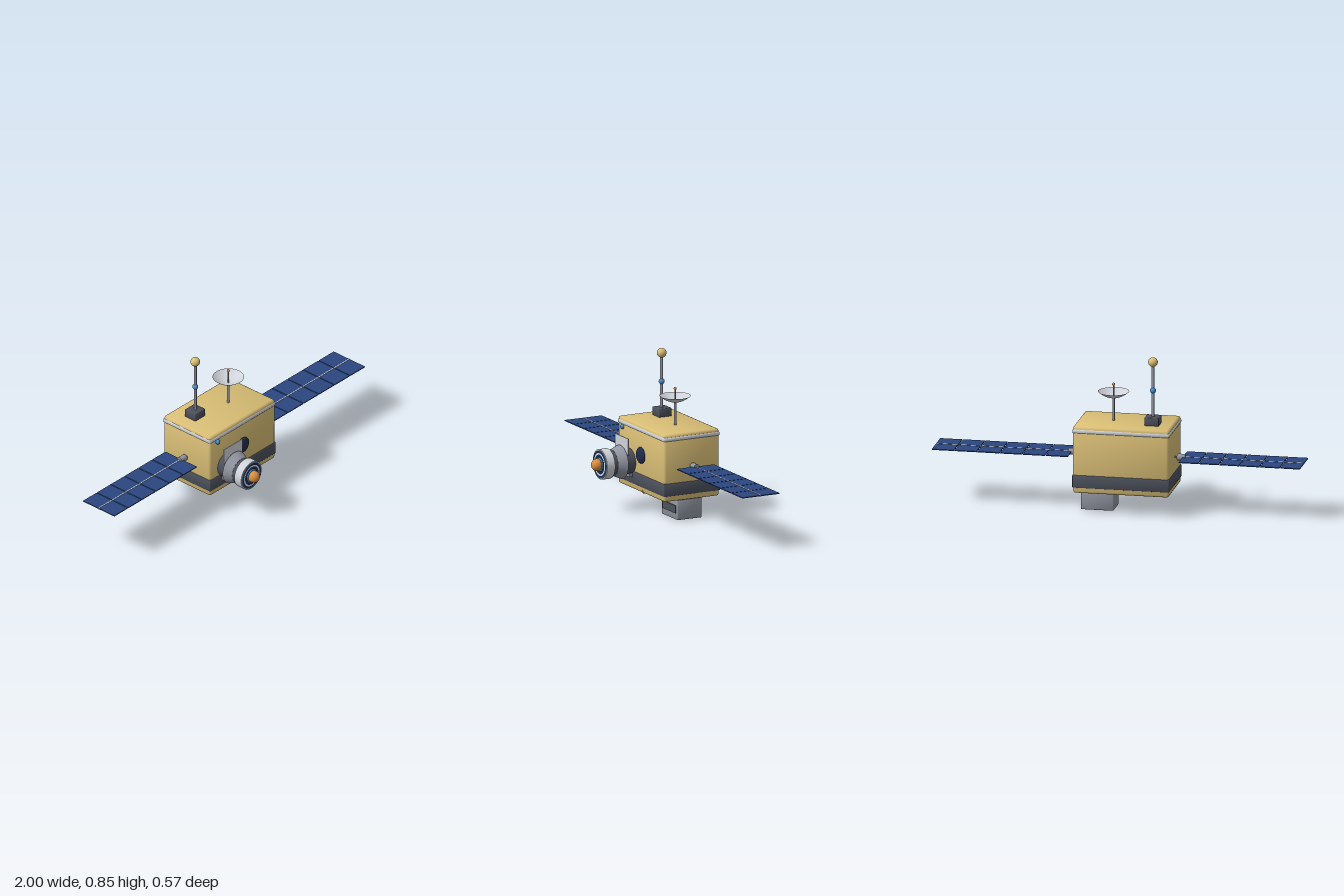
import * as THREE from 'three';
import { RoundedBoxGeometry } from 'three/addons/geometries/RoundedBoxGeometry.js';

const mat = (name, color, side = THREE.FrontSide) => {
  const m = new THREE.MeshStandardMaterial({ color, side });
  m.name = name;
  return m;
};

// Chamfered box whose normals lean toward the corners, so faces shade softly
const softBox = (w, h, d, r) => {
  const geo = new RoundedBoxGeometry(w, h, d, 1, r);
  const p = geo.attributes.position, n = geo.attributes.normal;
  const v = new THREE.Vector3();
  for (let i = 0; i < p.count; i++) {
    v.set(Math.sign(p.getX(i)), Math.sign(p.getY(i)), Math.sign(p.getZ(i))).multiplyScalar(0.3);
    v.x += n.getX(i);
    v.y += n.getY(i);
    v.z += n.getZ(i);
    v.normalize();
    n.setXYZ(i, v.x, v.y, v.z);
  }
  return geo;
};

export function createModel() {
  const gold = mat('gold foil', 0xdabf76);
  const dark = mat('dark grey', 0x4c515c);
  const grey = mat('mid grey', 0x9195a0);
  const silver = mat('silver', 0xd0d4da, THREE.DoubleSide);
  const cell = mat('solar blue', 0x2b4680);
  const navy = mat('dark navy', 0x1e2c4c);
  const blue = mat('light blue', 0x4a90d4);
  const orange = mat('orange', 0xdc8f40);

  const model = new THREE.Group();
  model.name = 'satellite';

  const add = (name, geo, material, x, y, z, parent = model) => {
    const m = new THREE.Mesh(geo, material);
    m.name = name;
    m.position.set(x, y, z);
    parent.add(m);
    return m;
  };
  const box = (name, material, w, h, d, x, y, z, r = 0, parent = model) =>
    add(name, r ? softBox(w, h, d, r) : new THREE.BoxGeometry(w, h, d), material, x, y, z, parent);
  const ball = (name, material, r, x, y, z, parent = model) =>
    add(name, new THREE.SphereGeometry(r, 28, 18), material, x, y, z, parent);
  const rod = (name, material, r, y0, y1, x, z) =>
    add(name, new THREE.CylinderGeometry(r, r, y1 - y0, 16), material, x, (y0 + y1) / 2, z);

  // Main body with its two bands
  const cx = -0.037, cz = -0.112;
  box('body', gold, 0.52, 0.368, 0.333, cx, 0.297, cz, 0.012);
  box('lowerBand', dark, 0.526, 0.07, 0.339, cx, 0.178, cz, 0.004);
  box('upperTrim', silver, 0.526, 0.022, 0.337, cx, 0.454, cz, 0.006);

  // Instrument box underneath
  box('instrumentBox', grey, 0.178, 0.115, 0.147, 0.11, 0.0575, -0.112, 0.004);
  box('instrumentSlot', dark, 0.148, 0.042, 0.008, 0.11, 0.056, -0.038);

  // Solar wings: six separate panels joined by a central spar
  const wing = (name, side, x0, x1) => {
    const g = new THREE.Group();
    g.name = name;
    model.add(g);
    const length = x1 - x0, gap = 0.005, pitch = (length + gap) / 6;
    for (let i = 0; i < 6; i++) {
      const x = side * (x0 + pitch * i + (pitch - gap) / 2);
      box('solarPanel', cell, pitch - gap, 0.005, 0.224, x, 0.297, cz, 0, g);
    }
    box('panelSpar', silver, length, 0.008, 0.006, side * (x0 + x1) / 2, 0.297, cz, 0, g);
  };
  wing('leftWing', 1, 0.262, 1);
  wing('rightWing', -1, 0.342, 1);
  for (const [x, inner] of [[0.256, 0.21], [-0.334, -0.28]]) {
    const hub = add('wingHub', new THREE.CylinderGeometry(0.018, 0.018, 0.045, 24), grey, x, 0.297, cz);
    hub.rotation.z = Math.PI / 2;
    box('wingPin', grey, Math.abs(x - inner), 0.007, 0.007, (x + inner) / 2, 0.297, cz);
  }

  // Mast antenna
  box('mastBase', dark, 0.078, 0.046, 0.076, -0.187, 0.503, -0.152, 0.004);
  rod('mast', grey, 0.008, 0.52, 0.81, -0.187, -0.15);
  ball('mastBead', blue, 0.016, -0.187, 0.668, -0.15);
  ball('mastTip', gold, 0.026, -0.187, 0.824, -0.15);

  // Dish antenna: shallow bowl opening upward
  const dishX = 0.035;
  rod('dishPost', grey, 0.007, 0.475, 0.602, dishX, cz);
  const bowl = [];
  for (let i = 0; i <= 10; i++) {
    const t = i / 10;
    bowl.push(new THREE.Vector2(0.0001 + 0.084 * t, 0.036 * t * t));
  }
  add('dish', new THREE.LatheGeometry(bowl, 40), silver, dishX, 0.605, cz);
  rod('dishFeed', grey, 0.004, 0.605, 0.68, dishX, cz);
  ball('dishFeedTip', orange, 0.008, dishX, 0.68, cz);

  // Camera, built along z from the front wall
  const camera = new THREE.Group();
  camera.name = 'camera';
  camera.position.set(-0.167, 0.26, 0);
  model.add(camera);
  const drum = (name, material, rBack, rFront, z0, z1) => {
    const m = add(name, new THREE.CylinderGeometry(rFront, rBack, z1 - z0, 40), material, 0, 0, (z0 + z1) / 2, camera);
    m.rotation.x = Math.PI / 2;
  };
  drum('cameraBarrel', dark, 0.07, 0.07, 0.045, 0.19);
  drum('cameraHood', grey, 0.092, 0.071, 0.11, 0.16);
  drum('cameraRim', silver, 0.082, 0.082, 0.185, 0.233);
  drum('lensFace', navy, 0.074, 0.074, 0.231, 0.235);
  add('lensOuterRing', new THREE.TorusGeometry(0.073, 0.003, 10, 48), blue, 0, 0, 0.234, camera);
  add('lensSilverRing', new THREE.RingGeometry(0.053, 0.062, 48), silver, 0, 0, 0.2365, camera);
  add('lensInnerRing', new THREE.TorusGeometry(0.034, 0.005, 10, 40), blue, 0, 0, 0.237, camera);
  ball('lensBulb', orange, 0.033, 0, 0, 0.251, camera);
  box('cameraShield', silver, 0.148, 0.09, 0.005, 0, 0.095, 0.101, 0, camera);
  box('cameraFoot', grey, 0.08, 0.02, 0.025, 0, -0.07, 0.064, 0, camera);

  // Porthole and small lamps on the front wall
  ball('porthole', navy, 0.045, -0.037, 0.317, 0.055).scale.z = 0.45;
  ball('blueLamp', blue, 0.013, -0.24, 0.432, 0.059);
  ball('orangeLamp', orange, 0.012, -0.023, 0.122, 0.045);

  return model;
}
